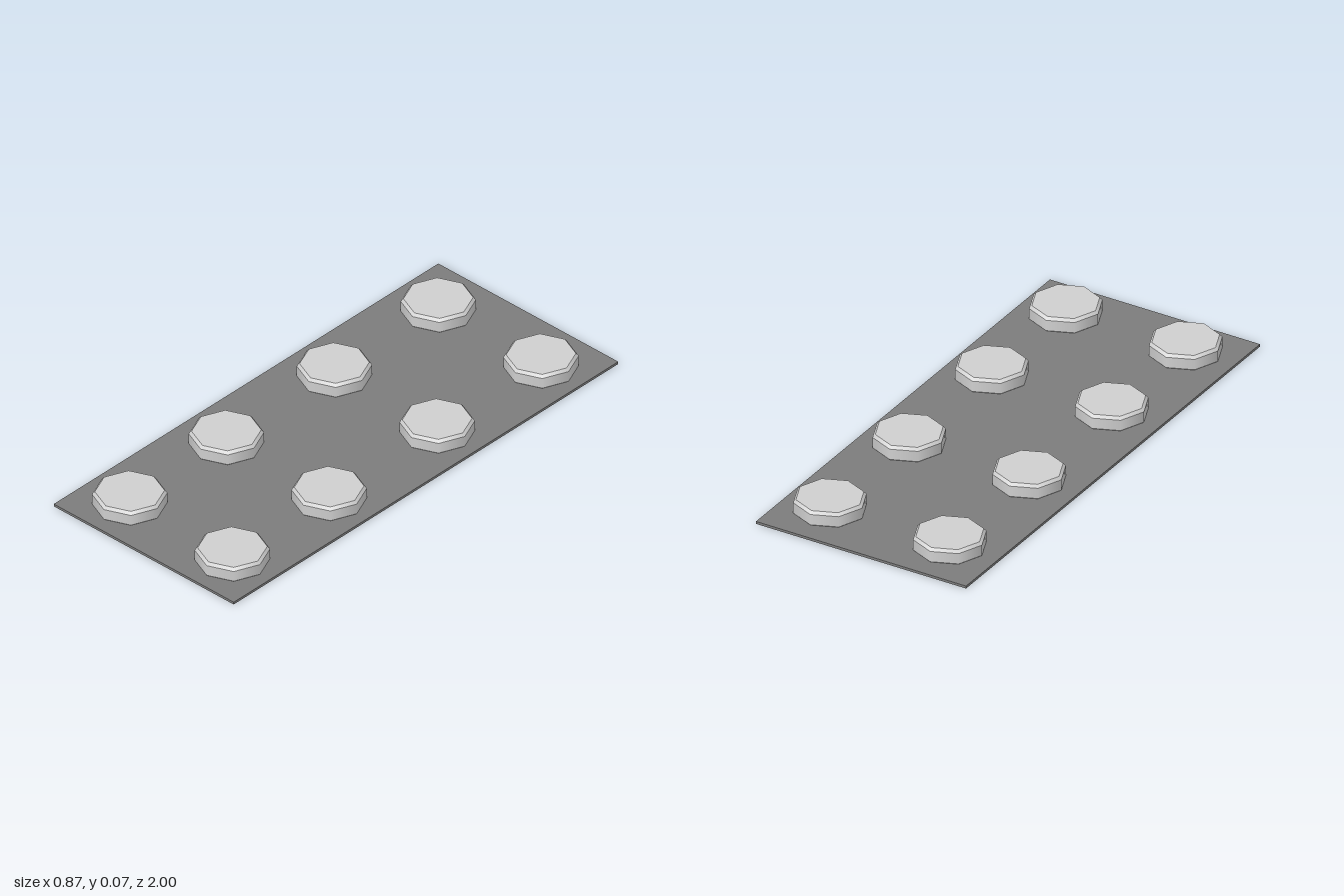
import * as THREE from 'three';
import { mergeGeometries } from 'three/addons/utils/BufferGeometryUtils.js';

export function createModel() {
  const model = new THREE.Group();
  const plateGrey = new THREE.MeshStandardMaterial({ name: 'plate grey', color: 0x7c7c7c });
  const studGrey = new THREE.MeshStandardMaterial({ name: 'light grey', color: 0xcfcfcf });

  // Thin base plate
  const plateTop = 0.01;
  const plate = new THREE.Mesh(new THREE.BoxGeometry(0.874, plateTop, 2), plateGrey);
  plate.name = 'basePlate';
  plate.position.y = plateTop / 2;
  model.add(plate);

  // One eight-sided ring of a stud, smooth around and sharp at its rims
  const ring = (rBottom, rTop, y0, y1) =>
    new THREE.CylinderGeometry(rTop, rBottom, y1 - y0, 8, 1, true).translate(0, (y0 + y1) / 2, 0);

  // Stud: small foot bevel, upright wall, top bevel and flat cap
  const studGeometry = mergeGeometries([
    ring(0.131, 0.134, plateTop, 0.013),
    ring(0.134, 0.134, 0.013, 0.055),
    ring(0.134, 0.124, 0.055, 0.066),
    new THREE.CircleGeometry(0.124, 8).rotateX(-Math.PI / 2).translate(0, 0.066, 0),
  ]);

  // Two columns of four studs
  for (const x of [-0.241, 0.258]) {
    for (const z of [-0.79, -0.25, 0.312, 0.815]) {
      const stud = new THREE.Mesh(studGeometry, studGrey);
      stud.name = 'stud';
      stud.position.set(x, 0, z);
      model.add(stud);
    }
  }
  return model;
}
